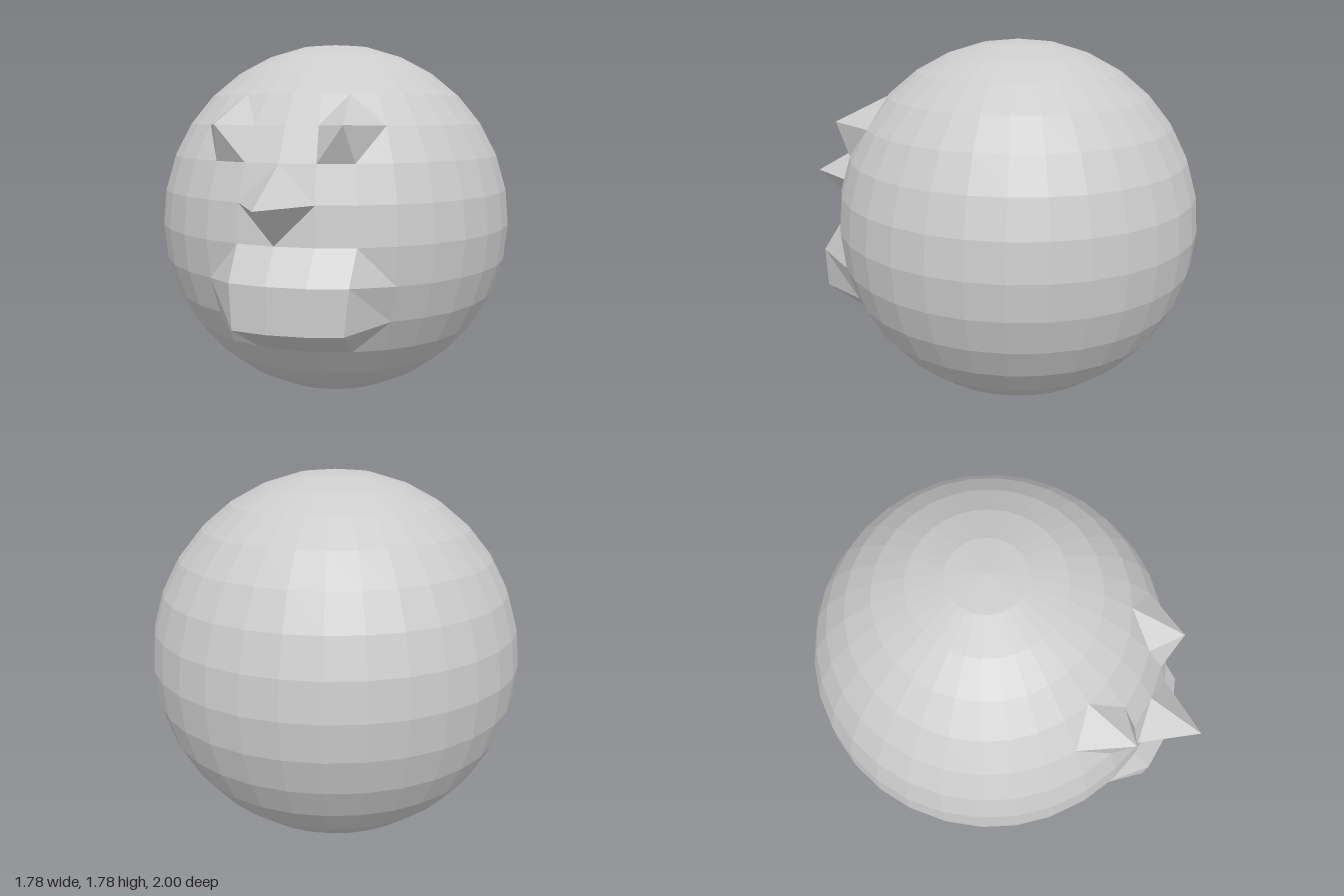
import * as THREE from 'three';

const R = 0.89, STEP = Math.PI / 16, CZ = -0.11;
const material = new THREE.MeshStandardMaterial({ color: 0xcccccc, flatShading: true });

// Grid corner on the ball: row counts up from the equator, col from the front towards +x
function onBall(row, col) {
  const r = R * Math.cos(row * STEP);
  return [r * Math.sin(col * STEP), R + R * Math.sin(row * STEP), CZ + r * Math.cos(col * STEP)];
}

// Mesh from flat polygons, corners counterclockwise seen from outside
function facets(name, polygons) {
  const pos = [];
  for (const p of polygons)
    for (let i = 1; i < p.length - 1; i++) pos.push(...p[0], ...p[i], ...p[i + 1]);
  const geometry = new THREE.BufferGeometry();
  geometry.setAttribute('position', new THREE.Float32BufferAttribute(pos, 3));
  geometry.computeVertexNormals();
  const mesh = new THREE.Mesh(geometry, material);
  mesh.name = name;
  return mesh;
}

// Pointed bump: a tip joined to a ring of ball corners
function spike(name, tip, ring) {
  return facets(name, ring.map((p, i) => [tip, p, ring[(i + 1) % ring.length]]));
}

export function createModel() {
  const model = new THREE.Group();
  model.name = 'head';

  // Faceted ball
  const ball = new THREE.Mesh(new THREE.SphereGeometry(R, 32, 16), material);
  ball.name = 'ball';
  ball.position.set(0, R, CZ);
  model.add(ball);

  // Four-sided nose
  model.add(spike('nose', [0, 1.065, 1],
    [[2, 0], [1, -1], [0, 0], [1, 1]].map(([r, c]) => onBall(r, c))));

  // Five-sided eyes, mirrored
  for (const side of [1, -1]) {
    const ring = [[4, 2], [3, 1], [2, 1], [2, 2], [3, 3]].map(([r, c]) => onBall(r, c * side));
    if (side < 0) ring.reverse();
    model.add(spike(side > 0 ? 'leftEye' : 'rightEye', [0.283 * side, 1.39, 0.73], ring));
  }

  // Mouth: two rows of ball corners pulled forward, set off centre, with cut corners
  const mouthPoint = (row, col) => {
    const sideCol = col === -2 || col === 3;
    if (sideCol && (row === 0 || row === -3)) return null;
    const [x, y, z] = onBall(row, col);
    if (sideCol || row === 0 || row === -3) return [x, y, z];
    return row === -1 ? [x, y + 0.025, z + 0.115] : [x, y - 0.01, z + 0.165];
  };
  const mouth = [];
  for (let row = 0; row > -3; row--)
    for (let col = -2; col < 3; col++)
      mouth.push([[row, col], [row - 1, col], [row - 1, col + 1], [row, col + 1]]
        .map(([r, c]) => mouthPoint(r, c)).filter(Boolean));
  model.add(facets('mouth', mouth));

  return model;
}
